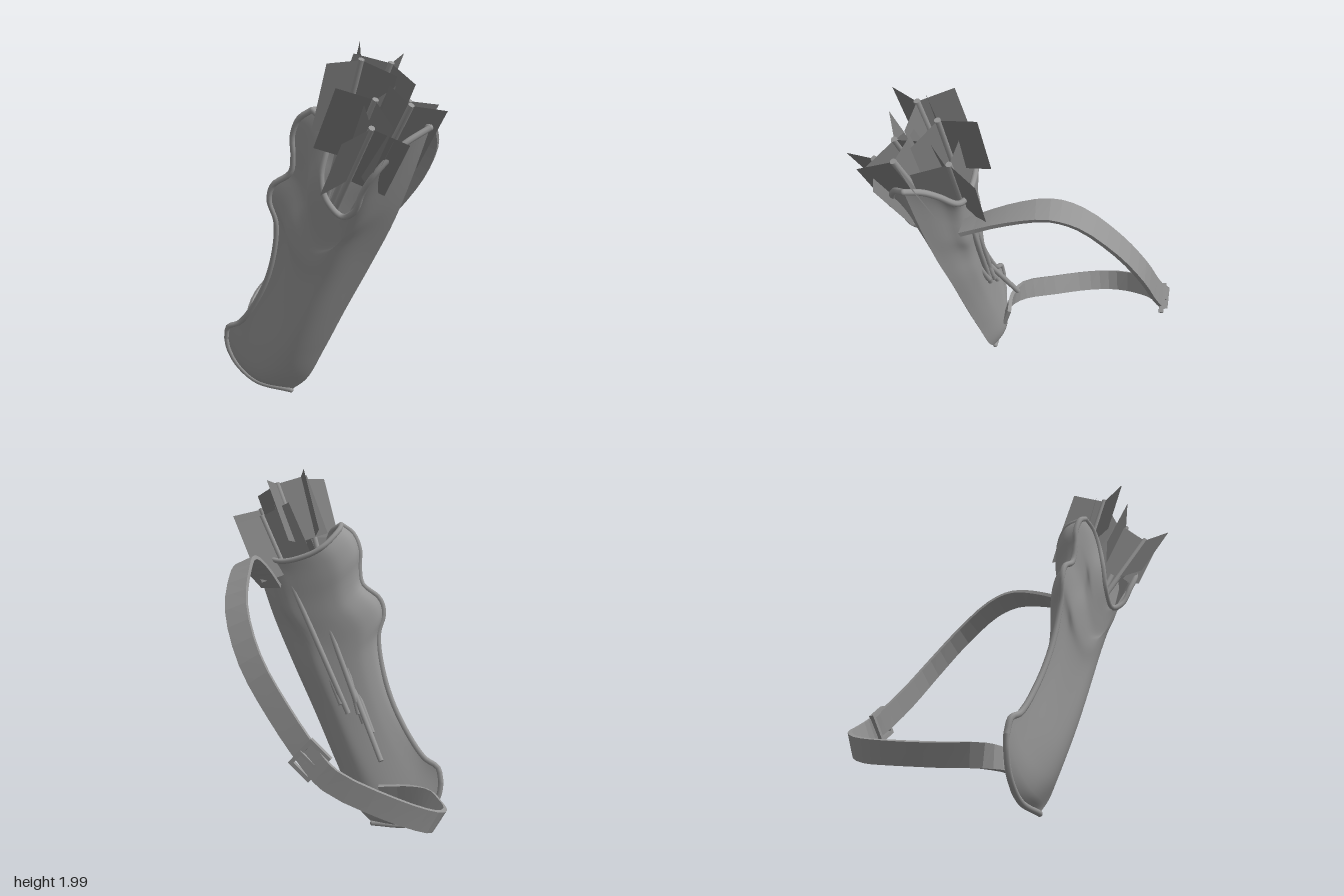
import * as THREE from 'three';

const V = (a) => new THREE.Vector3(...a);
const curve = (pts) => new THREE.CatmullRomCurve3(pts.map(V), false, 'centripetal');
const leather = new THREE.MeshStandardMaterial({ color: 0x959595 });
const leatherSheet = new THREE.MeshStandardMaterial({ color: 0x959595, side: THREE.DoubleSide });
const feather = new THREE.MeshStandardMaterial({ color: 0x7c7c7c, side: THREE.DoubleSide });

function add(parent, name, geometry, material = leather) {
  const mesh = new THREE.Mesh(geometry, material);
  mesh.name = name;
  parent.add(mesh);
  return mesh;
}

function indexed(pos, idx) {
  const g = new THREE.BufferGeometry();
  g.setAttribute('position', new THREE.Float32BufferAttribute(pos, 3));
  g.setIndex(idx);
  g.computeVertexNormals();
  return g;
}

// Edges of the leather body
const leftEdge = curve([
  [-0.58, 0.28, 0.23], [-0.56, 0.36, 0.24], [-0.48, 0.41, 0.25], [-0.33, 0.63, 0.28], [-0.24, 0.85, 0.31],
  [-0.2, 1.08, 0.34], [-0.225, 1.2, 0.36], [-0.2, 1.28, 0.365], [-0.1, 1.36, 0.37], [-0.08, 1.46, 0.38],
  [-0.08, 1.55, 0.385], [-0.04, 1.64, 0.395], [0.03, 1.69, 0.4]]);
const rightEdge = curve([
  [-0.2, 0.02, 0.21], [-0.1, 0.12, 0.22], [0.02, 0.35, 0.25], [0.15, 0.62, 0.285],
  [0.3, 0.92, 0.32], [0.42, 1.17, 0.355], [0.52, 1.43, 0.39], [0.6, 1.67, 0.42]]);
const bottomEdge = curve([
  [-0.58, 0.28, 0.23], [-0.57, 0.21, 0.225], [-0.52, 0.11, 0.215], [-0.41, 0.03, 0.21], [-0.2, 0.02, 0.21]]);
const frontRim = curve([
  [0.03, 1.69, 0.4], [0.09, 1.65, 0.42], [0.12, 1.55, 0.44], [0.1, 1.4, 0.465], [0.12, 1.29, 0.465],
  [0.2, 1.21, 0.465], [0.28, 1.26, 0.5], [0.33, 1.37, 0.535], [0.4, 1.48, 0.55], [0.5, 1.6, 0.5], [0.6, 1.67, 0.42]]);
const backRim = curve([
  [0.03, 1.69, 0.4], [0.02, 1.66, 0.3], [0.08, 1.58, 0.22], [0.16, 1.53, 0.2], [0.33, 1.49, 0.205],
  [0.45, 1.53, 0.225], [0.51, 1.6, 0.29], [0.56, 1.65, 0.35], [0.6, 1.67, 0.42]]);

// Panel stretched between its four edges; "flare" delays the rim's depth towards the top,
// "bulge" pushes the middle outwards, most of all beside the right seam
function panel(rim, bulge, bulgePower, flare, flip) {
  const nu = 40, nv = 56, pos = [], idx = [];
  for (let j = 0; j <= nv; j++) {
    const v = j / nv, l = leftEdge.getPointAt(v), r = rightEdge.getPointAt(v);
    for (let i = 0; i <= nu; i++) {
      const u = i / nu;
      const low = bottomEdge.getPointAt(u).sub(leftEdge.getPoint(0).lerp(rightEdge.getPoint(0), u));
      const top = rim.getPointAt(u).sub(leftEdge.getPoint(1).lerp(rightEdge.getPoint(1), u));
      const p = l.clone().lerp(r, u).addScaledVector(low, 1 - v);
      p.x += top.x * v ** 2;
      p.y += top.y * v ** 2;
      p.z += top.z * v ** flare + bulge * Math.sin(Math.PI * u ** 1.7) * Math.sin(Math.PI * v ** bulgePower);
      pos.push(p.x, p.y, p.z);
      if (i < nu && j < nv) {
        const a = j * (nu + 1) + i, b = a + 1, c = a + nu + 1, d = c + 1;
        idx.push(...(flip ? [a, d, b, a, c, d] : [a, b, d, a, d, c]));
      }
    }
  }
  return indexed(pos, idx);
}

// Strap: each key holds a centre point and the direction of its width
const strapKeys = [
  [[-0.25, 0.21, 0.145], [0.1, 1, -0.3]], [[-0.4, 0.22, 0.15], [-0.1, 1, -0.25]], [[-0.51, 0.225, 0.08], [-0.4, 0.9, -0.2]],
  [[-0.58, 0.235, -0.1], [-0.55, 0.85, 0]], [[-0.635, 0.26, -0.32], [-0.55, 0.85, 0]], [[-0.62, 0.3, -0.49], [-0.4, 0.9, 0]],
  [[-0.46, 0.41, -0.68], [-0.45, 0.9, 0]], [[-0.2, 0.56, -0.79], [-0.55, 0.8, 0]], [[-0.1, 0.65, -0.765], [-0.65, 0.75, 0]],
  [[0.06, 0.84, -0.715], [-0.75, 0.6, 0]], [[0.22, 1.07, -0.65], [-0.85, 0.45, 0]], [[0.33, 1.3, -0.52], [-0.95, 0.4, 0]],
  [[0.37, 1.46, -0.34], [-1, 0.45, 0]], [[0.39, 1.505, -0.2], [-1, 0.45, 0]], [[0.395, 1.455, 0], [-1, 0.25, 0]],
  [[0.39, 1.35, 0.22], [-1, 0, 0]]];

function strap() {
  const path = curve(strapKeys.map((k) => k[0])), widths = curve(strapKeys.map((k) => k[1]));
  const n = 45, pos = [], idx = [];
  const quad = (...corners) => {
    const s = pos.length / 3;
    corners.forEach((p) => pos.push(p.x, p.y, p.z));
    idx.push(s, s + 1, s + 2, s, s + 2, s + 3);
  };
  const ring = (t) => {
    const p = path.getPoint(t), T = path.getTangent(t), W = widths.getPoint(t);
    W.addScaledVector(T, -W.dot(T)).normalize();
    const N = W.clone().cross(T).normalize();
    return [[1, 1], [-1, 1], [-1, -1], [1, -1]].map(([w, h]) =>
      p.clone().addScaledVector(W, w * 0.058).addScaledVector(N, h * 0.011));
  };
  let prev = ring(0);
  quad(...prev);
  for (let i = 1; i <= n; i++) {
    const next = ring(i / n);
    for (let k = 0; k < 4; k++) quad(prev[k], next[k], next[(k + 1) % 4], prev[(k + 1) % 4]);
    prev = next;
  }
  quad(...prev.reverse());
  return indexed(pos, idx);
}

// Arrow: shaft between tip and nock, with three flat vanes
function arrow(tip, nock, spin) {
  const g = new THREE.Group();
  g.name = 'arrow';
  const a = V(tip), b = V(nock), len = a.distanceTo(b);
  add(g, 'shaft', new THREE.CylinderGeometry(0.015, 0.015, len, 10).translate(0, -len / 2, 0));
  for (let k = 0; k < 3; k++) {
    add(g, 'vane', new THREE.PlaneGeometry(0.18, 0.35).translate(0.09, -0.18, 0)
      .rotateY(spin + (k * Math.PI * 2) / 3), feather);
  }
  g.position.copy(b);
  g.quaternion.setFromUnitVectors(new THREE.Vector3(0, 1, 0), b.sub(a).normalize());
  return g;
}

export function createModel() {
  const model = new THREE.Group();
  model.name = 'quiver';

  add(model, 'frontPanel', panel(frontRim, 0.075, 0.55, 4, false), leatherSheet);
  add(model, 'backPanel', panel(backRim, -0.055, 0.3, 1.6, true), leatherSheet);

  // Rolled piping along the seam and the opening
  const piping = { leftPiping: leftEdge, bottomPiping: bottomEdge, frontRimPiping: frontRim, backRimPiping: backRim };
  for (const [name, path] of Object.entries(piping)) {
    add(model, name, new THREE.TubeGeometry(path, 60, 0.015, 8));
    for (const t of [0, 1]) {
      add(model, name + 'End', new THREE.SphereGeometry(0.015, 8, 6)).position.copy(path.getPoint(t));
    }
  }

  add(model, 'strap', strap());

  // Buckle frame and prong at the back of the strap
  const buckle = new THREE.Group();
  buckle.name = 'buckle';
  for (const s of [-1, 1]) {
    add(buckle, 'buckleBar', new THREE.BoxGeometry(0.02, 0.16, 0.025)).position.x = s * 0.055;
    add(buckle, 'buckleSide', new THREE.BoxGeometry(0.13, 0.02, 0.025)).position.y = s * 0.07;
  }
  add(buckle, 'prong', new THREE.BoxGeometry(0.12, 0.014, 0.015)).position.z = -0.015;
  buckle.position.set(-0.1, 0.64, -0.765);
  buckle.rotation.z = 0.75;
  model.add(buckle);

  // Arrows: tip, nock, turn of the vanes; a few tips pierce the back panel
  const arrows = [
    [[-0.27, 0.42, 0.08], [0.4, 1.7, 0.62], 0.15],
    [[-0.06, 0.65, 0.195], [0.45, 1.74, 0.25], 0.9],
    [[-0.15, 0.6, 0.195], [0.38, 1.92, 0.31], 1.57],
    [[-0.2, 0.55, 0.185], [0.38, 1.8, 0.52], -0.7],
    [[-0.02, 0.7, 0.195], [0.53, 1.78, 0.48], 0.65],
    [[-0.12, 0.65, 0.195], [0.28, 1.95, 0.43], -0.1]];
  for (const a of arrows) model.add(arrow(...a));

  return model;
}
